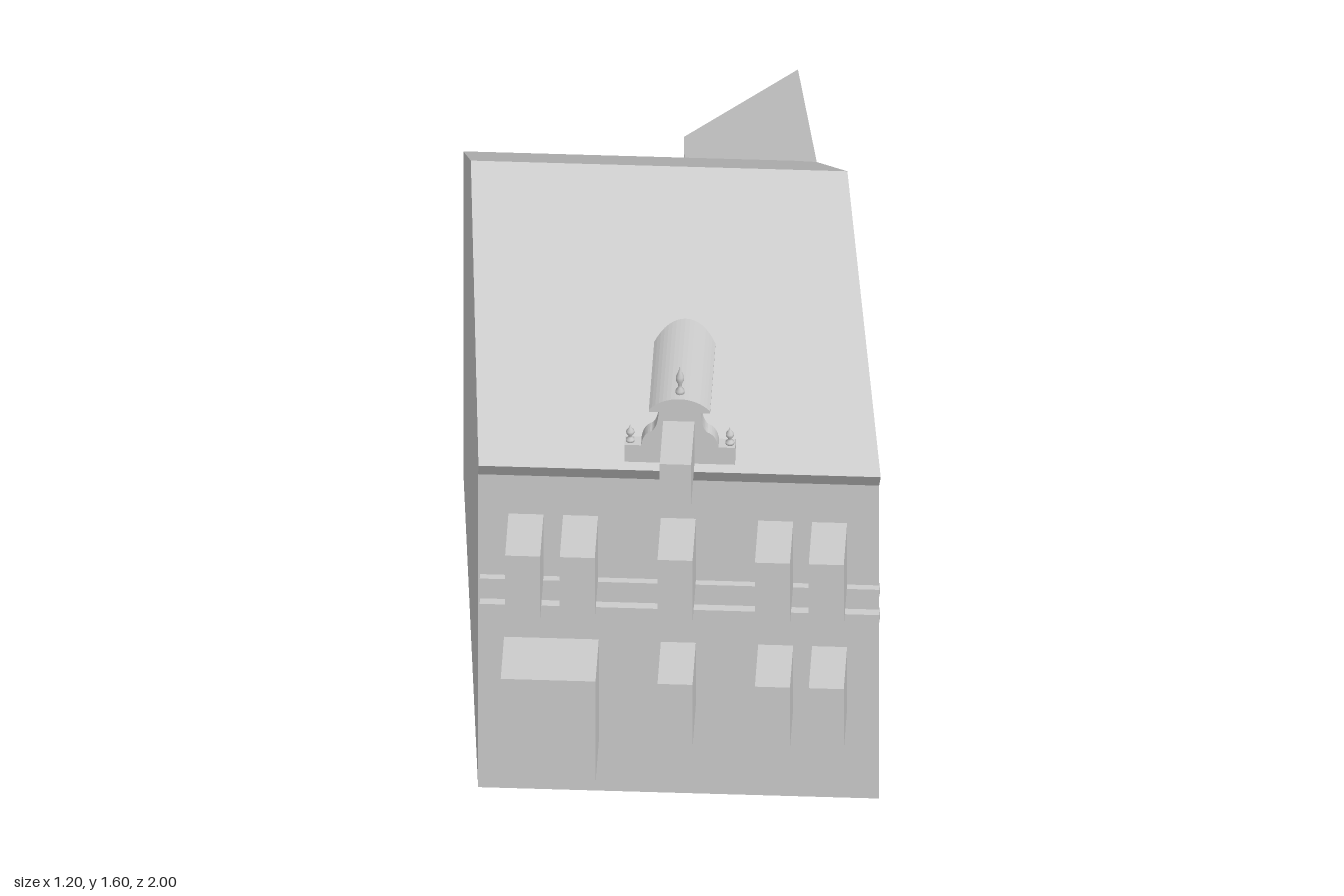
import * as THREE from 'three';

const stone = new THREE.MeshStandardMaterial({ color: 0xcccccc });
stone.name = 'plain grey';

// Slanted side walls of the plot
const leftWall = z => -0.49 + (z - 0.82) * 0.0756;
const rightWall = z => 0.60 + (z - 0.82) * 0.1703;

function add(parent, name, geometry, x = 0, y = 0, z = 0) {
  const mesh = new THREE.Mesh(geometry, stone);
  mesh.name = name;
  mesh.position.set(x, y, z);
  parent.add(mesh);
  return mesh;
}

// Box given by its limits
function block(parent, name, x0, x1, y0, y1, z0, z1) {
  return add(parent, name, new THREE.BoxGeometry(x1 - x0, y1 - y0, z1 - z0),
    (x0 + x1) / 2, (y0 + y1) / 2, (z0 + z1) / 2);
}

function reshape(geometry, rule) {
  const p = geometry.attributes.position;
  for (let i = 0; i < p.count; i++) {
    p.setXYZ(i, ...rule(p.getX(i), p.getY(i), p.getZ(i)));
  }
  geometry.computeVertexNormals();
  return geometry;
}

const shapeOf = points => new THREE.Shape(points.map(([a, b]) => new THREE.Vector2(a, b)));
const extrude = (shape, depth) =>
  new THREE.ExtrudeGeometry(shape, { depth, bevelEnabled: false, curveSegments: 8 });

// Gabled house: the side profile stretched between the slanted walls
function houseGeometry() {
  const profile = [[0.79, 0], [0.79, 1.06], [0.825, 1.115], [0.09, 1.595],
    [-0.635, 1.08], [-0.63, 1.06], [-0.63, 0]];
  const geometry = extrude(shapeOf(profile.map(([z, y]) => [-z, y]).reverse()), 1);
  return reshape(geometry, (a, y, t) => {
    let z = -a;
    if (z < -0.62 && y < 1.07) z = THREE.MathUtils.lerp(-0.635, -0.605, t);
    return [THREE.MathUtils.lerp(leftWall(z), rightWall(z), t), y, z];
  });
}

// Upright prism on a footprint of [x, z] corners, its top following height(x, z)
function prism(footprint, height) {
  const geometry = extrude(shapeOf(footprint.map(([x, z]) => [x, -z])), 1);
  return reshape(geometry, (x, a, t) => [x, t * height(x, -a), -a]);
}

function finial(parent, name, scale, x, y, z) {
  const profile = [[0, 0], [0.012, 0], [0.012, 0.008], [0.005, 0.014], [0.005, 0.02],
    [0.011, 0.029], [0.011, 0.037], [0.005, 0.046], [0, 0.058]]
    .map(([r, h]) => new THREE.Vector2(r, h));
  const mesh = add(parent, name, new THREE.LatheGeometry(profile, 12), x, y, z);
  mesh.scale.set(1, scale, 1);
}

function dormer() {
  const group = new THREE.Group();
  group.name = 'dormer';
  group.position.x = 0.055;

  // Front gable with scrolled shoulders
  const gable = new THREE.Shape();
  gable.moveTo(-0.15, 1.125);
  gable.lineTo(0.15, 1.125);
  gable.lineTo(0.15, 1.185);
  gable.lineTo(0.105, 1.185);
  gable.quadraticCurveTo(0.1, 1.225, 0.075, 1.235);
  gable.quadraticCurveTo(0.058, 1.25, 0.056, 1.315);
  gable.lineTo(-0.056, 1.315);
  gable.quadraticCurveTo(-0.058, 1.25, -0.075, 1.235);
  gable.quadraticCurveTo(-0.1, 1.225, -0.105, 1.185);
  gable.lineTo(-0.15, 1.185);
  add(group, 'dormerGable', extrude(gable, 0.04), 0, 0, 0.765);

  // Body running back into the roof
  block(group, 'dormerBody', -0.05, 0.05, 1.12, 1.315, 0.45, 0.78);

  // Arched roof
  const arch = new THREE.Shape();
  arch.moveTo(-0.083, 1.31);
  arch.lineTo(0.083, 1.31);
  arch.lineTo(0.083, 1.318);
  arch.quadraticCurveTo(0.05, 1.355, 0, 1.356);
  arch.quadraticCurveTo(-0.05, 1.355, -0.083, 1.318);
  add(group, 'dormerRoof', extrude(arch, 0.38), 0, 0, 0.44);

  finial(group, 'topFinial', 1.6, 0, 1.352, 0.79);
  for (const side of [-1, 1]) {
    finial(group, 'sideFinial', 0.95, side * 0.135, 1.184, 0.785);
  }
  block(group, 'dormerWindowBlock', -0.045, 0.04, 1.13, 1.27, 0.7, 1.0);
  return group;
}

export function createModel() {
  const model = new THREE.Group();
  model.name = 'townHouse';

  add(model, 'house', houseGeometry());

  // Rear wing with a lean-to roof falling away from the right wall
  add(model, 'rearWing', prism(
    [[-0.017, -0.95], [0.005, -0.6], [rightWall(-0.585), -0.585], [0.29, -1]],
    (x, z) => 1.115 - 0.64 * Math.max(0, rightWall(z) - x)));

  // Small lean-to in the corner of the wing
  add(model, 'rearLeanTo', prism(
    [[-0.085, -0.745], [-0.085, -0.6], [0.14, -0.6], [0.14, -0.745]],
    (x, z) => 0.9 + 0.7 * (z + 0.745)));

  // Ledges across the front
  block(model, 'upperLedge', -0.487, 0.597, 0.7, 0.722, 0.78, 0.81);
  block(model, 'lowerLedge', -0.487, 0.597, 0.615, 0.64, 0.78, 0.815);

  // Projecting window blocks in two storeys
  for (const x of [-0.41, -0.262, 0.003, 0.267, 0.413]) {
    block(model, 'upperWindowBlock', x, x + 0.095, 0.72, 0.93, 0.75, 0.98);
    if (x > 0) block(model, 'lowerWindowBlock', x, x + 0.095, 0.3, 0.51, 0.75, 0.98);
  }
  block(model, 'largeWindowBlock', -0.422, -0.165, 0.168, 0.512, 0.75, 0.98);

  model.add(dormer());
  return model;
}
